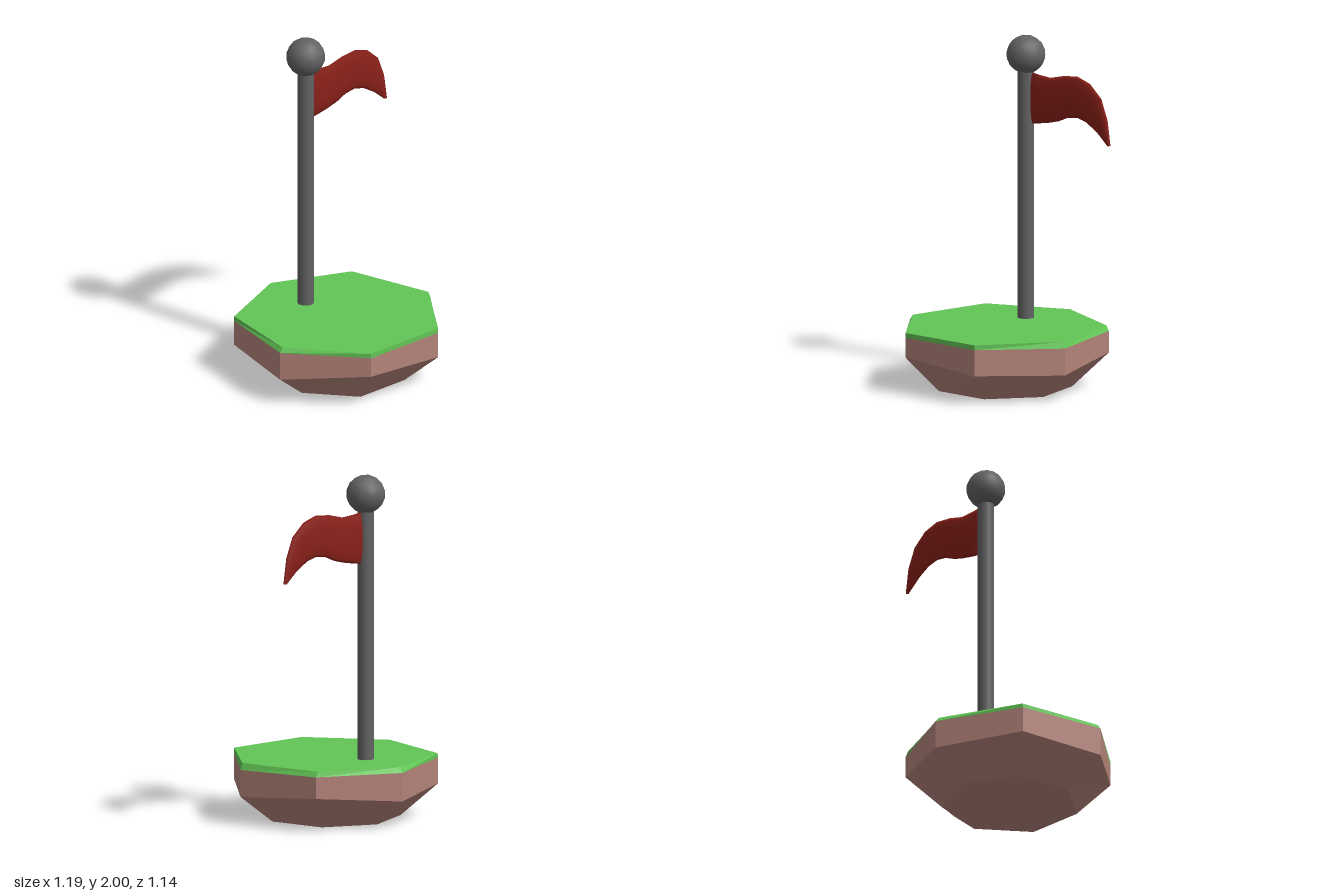
import * as THREE from 'three';

// Skin over a list of equal-length point rings, with optional end caps
function loft(rings, capStart, capEnd) {
  const n = rings[0].length;
  const pos = rings.flat(2);
  const idx = [];
  for (let r = 0; r < rings.length - 1; r++) {
    for (let i = 0; i < n; i++) {
      const j = (i + 1) % n;
      const a = r * n + i, b = r * n + j, c = a + n, d = b + n;
      idx.push(a, c, b, b, c, d);
    }
  }
  const last = (rings.length - 1) * n;
  for (let i = 1; i < n - 1; i++) {
    if (capStart) idx.push(0, i, i + 1);
    if (capEnd) idx.push(last, last + i + 1, last + i);
  }
  const g = new THREE.BufferGeometry();
  g.setAttribute('position', new THREE.Float32BufferAttribute(pos, 3));
  g.setIndex(idx);
  g.computeVertexNormals();
  return g;
}

export function createModel() {
  const group = new THREE.Group();
  const add = (name, geometry, color, options = {}) => {
    const mesh = new THREE.Mesh(geometry, new THREE.MeshStandardMaterial({ color, ...options }));
    mesh.name = name;
    group.add(mesh);
    return mesh;
  };

  // Seven-sided island: rings of [x, y, z], starting at the back corner
  const foot = [[0, 0, -0.36], [0.3, 0, -0.22], [0.375, 0, 0.115], [0.165, 0, 0.385],
    [-0.18, 0, 0.385], [-0.385, 0, 0.115], [-0.31, 0, -0.22]];
  const plan = [[0, -0.575], [0.465, -0.35], [0.58, 0.16], [0.255, 0.57],
    [-0.27, 0.57], [-0.597, 0.16], [-0.48, -0.35]];
  const waistY = [0.16, 0.2, 0.16, 0.175, 0.212, 0.16, 0.18];
  const rimY = [0.325, 0.325, 0.317, 0.327, 0.327, 0.327, 0.33];
  const waist = plan.map(([x, z], i) => [x, waistY[i], z]);
  const rim = plan.map(([x, z], i) => [x, rimY[i], z]);
  const top = [[-0.005, -0.548], [0.445, -0.35], [0.565, 0.16], [0.255, 0.57],
    [-0.27, 0.57], [-0.577, 0.16], [-0.477, -0.35]].map(([x, z]) => [x, 0.355, z]);
  add('soil', loft([foot, waist, rim], true, false), 0xb4837a, { flatShading: true });
  add('grass', loft([rim, top], false, true), 0x62c555, { flatShading: true });

  // Pole with a ball on top
  const px = -0.046, pz = -0.213;
  add('pole', new THREE.CylinderGeometry(0.047, 0.047, 1.5, 16), 0x636363).position.set(px, 1.08, pz);
  add('ball', new THREE.IcosahedronGeometry(0.112, 2), 0x636363).position.set(px, 1.888, pz);

  // Waving flag: lens-shaped sections between top and bottom edge points
  const sections = [
    [-0.02, 1.79, -0.02, 1.487], [0.06, 1.78, 0.06, 1.499], [0.14, 1.775, 0.13, 1.512],
    [0.24, 1.8, 0.2, 1.53], [0.345, 1.81, 0.27, 1.56], [0.44, 1.78, 0.34, 1.57],
    [0.525, 1.705, 0.41, 1.552], [0.57, 1.59, 0.49, 1.505], [0.592, 1.44, 0.572, 1.437],
  ];
  const sides = 12;
  const flagRings = sections.map(([tx, ty, bx, by], s) => {
    const half = s === sections.length - 1 ? 0.008 : 0.017;
    return Array.from({ length: sides }, (_, i) => {
      const a = (i / sides) * Math.PI * 2;
      const k = (1 + Math.cos(a)) / 2;
      return [bx + (tx - bx) * k, by + (ty - by) * k, pz - 0.004 - Math.sin(a) * half];
    });
  });
  add('flag', loft(flagRings, true, true), 0x8a2019);

  return group;
}
